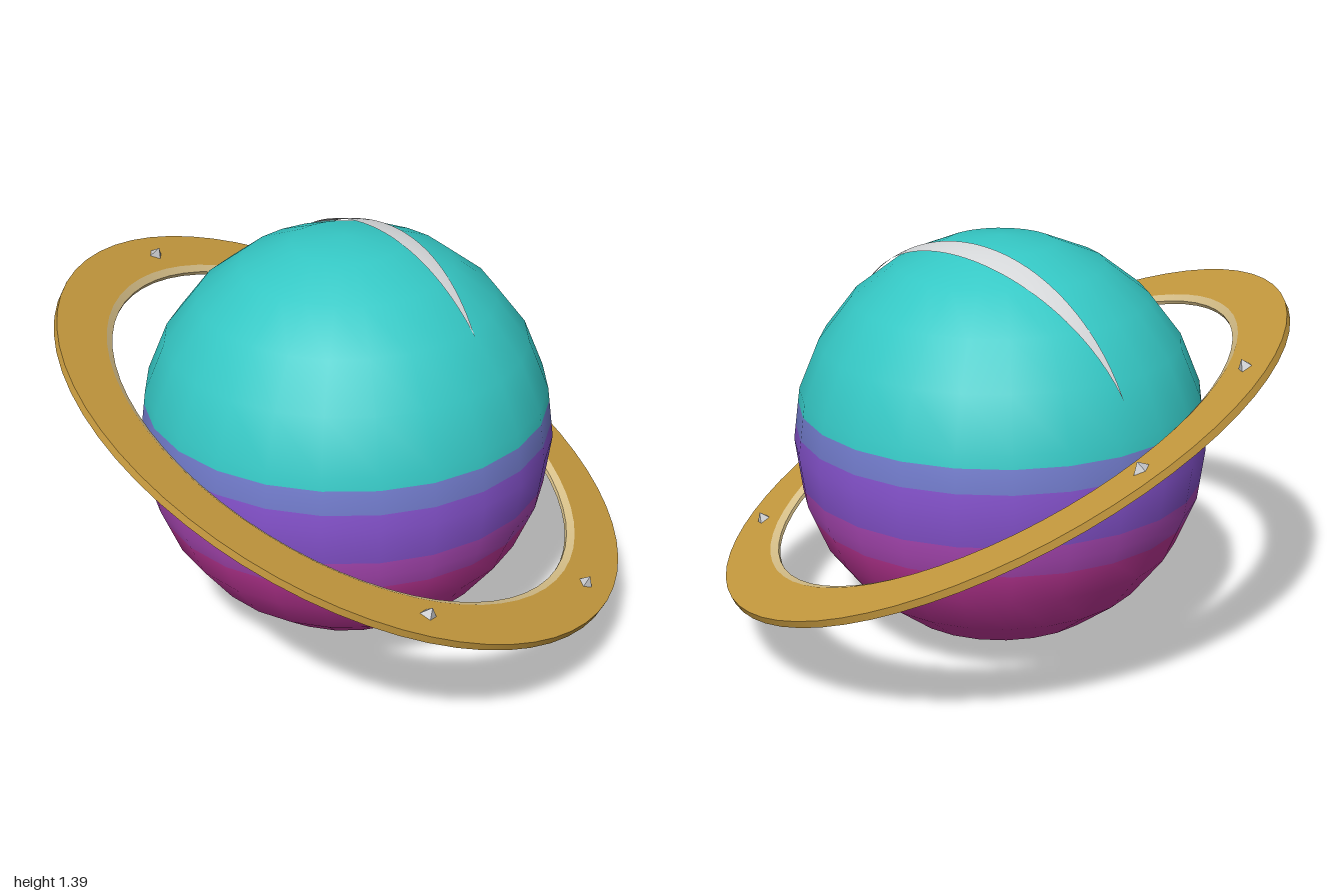
import * as THREE from 'three';

const R = 0.695; // planet radius, also the height of its centre

const paint = (name, color, side = THREE.FrontSide) => {
  const m = new THREE.MeshStandardMaterial({ color, side });
  m.name = name;
  return m;
};

function addMesh(parent, name, geometry, material) {
  const mesh = new THREE.Mesh(geometry, material);
  mesh.name = name;
  parent.add(mesh);
  return mesh;
}

// Slice of a 24 x 12 sphere between two heights, with smooth radial normals
function bandGeometry(y0, y1) {
  const rows = [];
  for (let i = 0; i <= 12; i++) {
    const a = -Math.PI / 2 + (i * Math.PI) / 12;
    rows.push(new THREE.Vector2(Math.max(0, R * Math.cos(a)), R * Math.sin(a)));
  }
  const cut = (y) => {
    const i = rows.findIndex((p) => p.y > y);
    const a = rows[i - 1], b = rows[i];
    return a.clone().lerp(b, (y - a.y) / (b.y - a.y));
  };
  const inside = rows.filter((p) => p.y > y0 + 1e-4 && p.y < y1 - 1e-4);
  const points = [y0 <= -R ? rows[0] : cut(y0), ...inside, y1 >= R ? rows[12] : cut(y1)];
  const geometry = new THREE.LatheGeometry(points, 24);
  const pos = geometry.attributes.position, v = new THREE.Vector3();
  for (let i = 0; i < pos.count; i++) {
    v.fromBufferAttribute(pos, i).normalize();
    geometry.attributes.normal.setXYZ(i, v.x, v.y, v.z);
  }
  return geometry;
}

// Thin crescent lying on the upper surface, straight in front and bowed behind
function crescentGeometry() {
  const geometry = new THREE.PlaneGeometry(2, 1, 40, 4);
  const pos = geometry.attributes.position, r = R + 0.002;
  for (let i = 0; i < pos.count; i++) {
    const u = pos.getX(i), t = pos.getY(i) + 0.5;
    const x = -0.065 + 0.555 * u;
    const z = -0.122 - 0.088 * (1 - u * u) * t;
    pos.setXYZ(i, x, Math.sqrt(r * r - x * x - z * z), z);
  }
  geometry.computeVertexNormals();
  return geometry;
}

export function createModel() {
  const teal = paint('teal', 0x35c8c5);
  const periwinkle = paint('periwinkle', 0x717bcb);
  const violet = paint('violet', 0x8653ce);
  const orchid = paint('orchid', 0xb04abb);
  const magenta = paint('magenta', 0xc8399f);
  const gold = paint('gold', 0xc89b3f);
  const cream = paint('cream', 0xdcc48c);
  const silver = paint('silver', 0xc4c5c8);
  const pale = paint('pale grey', 0xd6d8da, THREE.DoubleSide);

  const model = new THREE.Group();
  model.name = 'ringedPlanet';

  // Planet in coloured bands
  const planet = new THREE.Group();
  planet.name = 'planet';
  planet.position.y = R;
  model.add(planet);
  const levels = [0, 0.46, 0.57, 0.75, 0.83, 2 * R];
  [magenta, orchid, violet, periwinkle, teal].forEach((m, i) =>
    addMesh(planet, m.name + 'Band', bandGeometry(levels[i] - R, levels[i + 1] - R), m));
  addMesh(planet, 'paleCrescent', crescentGeometry(), pale);

  // Tilted ring; each face is its own lathe so the edges stay sharp
  const ring = new THREE.Group();
  ring.name = 'ring';
  ring.position.y = R;
  const normal = new THREE.Vector3(0.318, 0.893, -0.318).normalize();
  ring.quaternion.setFromUnitVectors(new THREE.Vector3(0, 1, 0), normal);
  model.add(ring);
  const h = 0.0125, inner = 0.853, lip = 0.878, outer = 1.05;
  const faces = [
    ['ringUnderside', gold, inner, -h, outer, -h],
    ['ringOuterEdge', gold, outer, -h, outer, h],
    ['ringTop', gold, outer, h, lip, h],
    ['ringInnerBevel', cream, lip, h, inner, 0],
    ['ringInnerEdge', cream, inner, 0, inner, -h],
  ];
  for (const [name, material, r0, y0, r1, y1] of faces) {
    const profile = [new THREE.Vector2(r0, y0), new THREE.Vector2(r1, y1)];
    addMesh(ring, name, new THREE.LatheGeometry(profile, 64), material);
  }

  // Gems half sunk into the top of the ring
  const gem = new THREE.OctahedronGeometry(0.03);
  const spots = [[-0.87, -0.345], [-0.86, 0.185], [0.77, -0.395], [0.855, 0.375]];
  const toRing = ring.quaternion.clone().invert();
  for (const [x, z] of spots) {
    const y = -(normal.x * x + normal.z * z) / normal.y;
    const mesh = addMesh(ring, 'gem', gem, silver);
    mesh.position.set(x, y, z).applyQuaternion(toRing);
    mesh.rotation.y = -Math.atan2(mesh.position.z, mesh.position.x);
    mesh.scale.x = 0.8;
    mesh.position.y = h;
  }
  return model;
}
